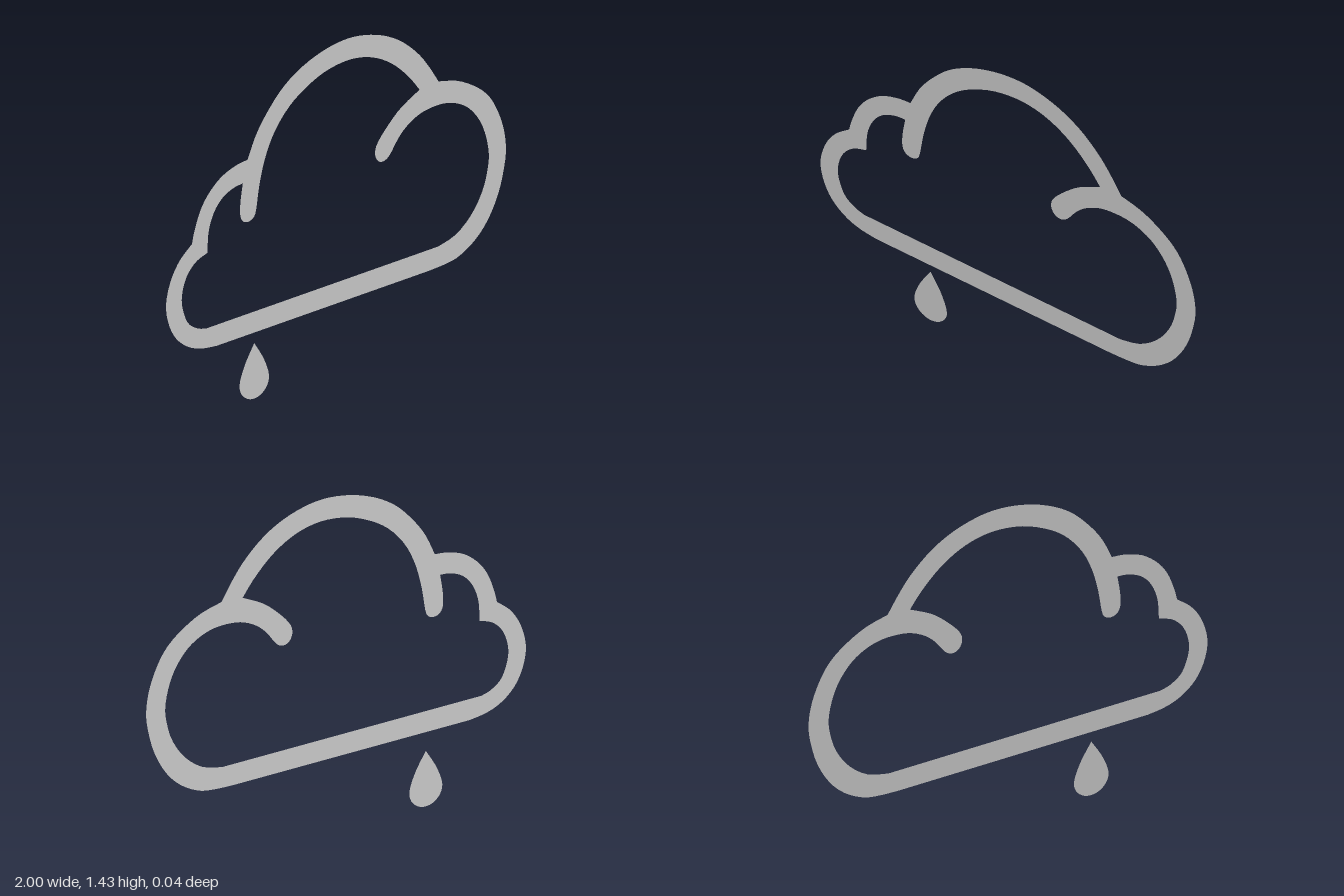
import * as THREE from 'three';

// Traces a closed path: each run is a smooth curve, with corners only where runs meet.
function trace(path, runs) {
  path.moveTo(...runs[0][0]);
  for (const [start, ...rest] of runs) {
    path.lineTo(...start);
    path.splineThru(rest.map(([x, y]) => new THREE.Vector2(x, y)));
  }
  path.closePath();
  return path;
}

export function createModel() {
  const group = new THREE.Group();
  const material = new THREE.MeshStandardMaterial({ color: 0xcccccc, side: THREE.DoubleSide });
  const addFlat = (name, shape, z) => {
    const mesh = new THREE.Mesh(new THREE.ShapeGeometry(shape, 3), material);
    mesh.name = name;
    mesh.position.z = z;
    group.add(mesh);
  };

  // Outer edge of the cloud, counter-clockwise; the closing line is the flat base
  const cloud = trace(new THREE.Shape(), [
    // right lobe
    [[0.545, 0.304], [0.64, 0.308], [0.72, 0.32], [0.813, 0.363], [0.893, 0.433], [0.957, 0.535], [0.993, 0.65],
      [1, 0.73], [0.984, 0.815], [0.947, 0.9], [0.898, 0.97], [0.824, 1.028], [0.717, 1.081], [0.604, 1.108]],
    // dome
    [[0.604, 1.108], [0.545, 1.19], [0.48, 1.263], [0.385, 1.338], [0.278, 1.391], [0.16, 1.423], [0.053, 1.432],
      [-0.07, 1.418], [-0.198, 1.38], [-0.31, 1.321], [-0.4, 1.241], [-0.47, 1.156], [-0.52, 1.061]],
    // upper left puff
    [[-0.52, 1.061], [-0.588, 1.054], [-0.674, 1.027], [-0.749, 0.974], [-0.8, 0.91], [-0.834, 0.83], [-0.847, 0.782]],
    // lower left lobe
    [[-0.847, 0.782], [-0.92, 0.728], [-0.973, 0.653], [-1, 0.558], [-0.984, 0.47], [-0.94, 0.396],
      [-0.87, 0.343], [-0.79, 0.315], [-0.7, 0.304]],
  ]);

  // Inner edge, including the two round-ended strokes that reach inside
  cloud.holes.push(trace(new THREE.Path(), [
    // right lobe, then the underside of the right stroke and its tip
    [[0.6, 0.395], [0.706, 0.42], [0.8, 0.485], [0.866, 0.575], [0.896, 0.67], [0.898, 0.735], [0.877, 0.815],
      [0.84, 0.885], [0.78, 0.948], [0.71, 0.986], [0.64, 1.004], [0.565, 1.006], [0.49, 0.995], [0.417, 0.963],
      [0.364, 0.92], [0.315, 0.863], [0.278, 0.847], [0.246, 0.858], [0.23, 0.892], [0.244, 0.934],
      [0.305, 0.994], [0.385, 1.053], [0.492, 1.101]],
    // dome, then down and round the left stroke
    [[0.492, 1.101], [0.433, 1.169], [0.348, 1.243], [0.257, 1.296], [0.16, 1.328], [0.053, 1.338], [-0.07, 1.322],
      [-0.187, 1.279], [-0.283, 1.221], [-0.364, 1.137], [-0.417, 1.041], [-0.45, 0.936], [-0.47, 0.831],
      [-0.487, 0.801], [-0.519, 0.792], [-0.55, 0.804], [-0.564, 0.838], [-0.561, 0.896], [-0.548, 0.966]],
    // upper left puff
    [[-0.548, 0.966], [-0.604, 0.96], [-0.668, 0.934], [-0.717, 0.885], [-0.749, 0.811], [-0.756, 0.72]],
    // lower left lobe
    [[-0.756, 0.72], [-0.824, 0.698], [-0.877, 0.65], [-0.904, 0.585], [-0.904, 0.523], [-0.872, 0.448],
      [-0.818, 0.41], [-0.765, 0.395]],
  ]));
  addFlat('cloudOutline', cloud, 0.018);

  // Raindrop: a half profile from the tip down, mirrored back up, set slightly behind the cloud
  const cx = -0.443;
  const half = [[0, 0.24], [0.055, 0.16], [0.086, 0.085], [0.077, 0.04], [0.043, 0.01], [0, 0]];
  const right = half.map(([x, y]) => [cx + x, y]);
  const left = half.slice(0, -1).reverse().map(([x, y]) => [cx - x, y]);
  addFlat('raindrop', trace(new THREE.Shape(), [[...right, ...left]]), -0.018);

  return group;
}
